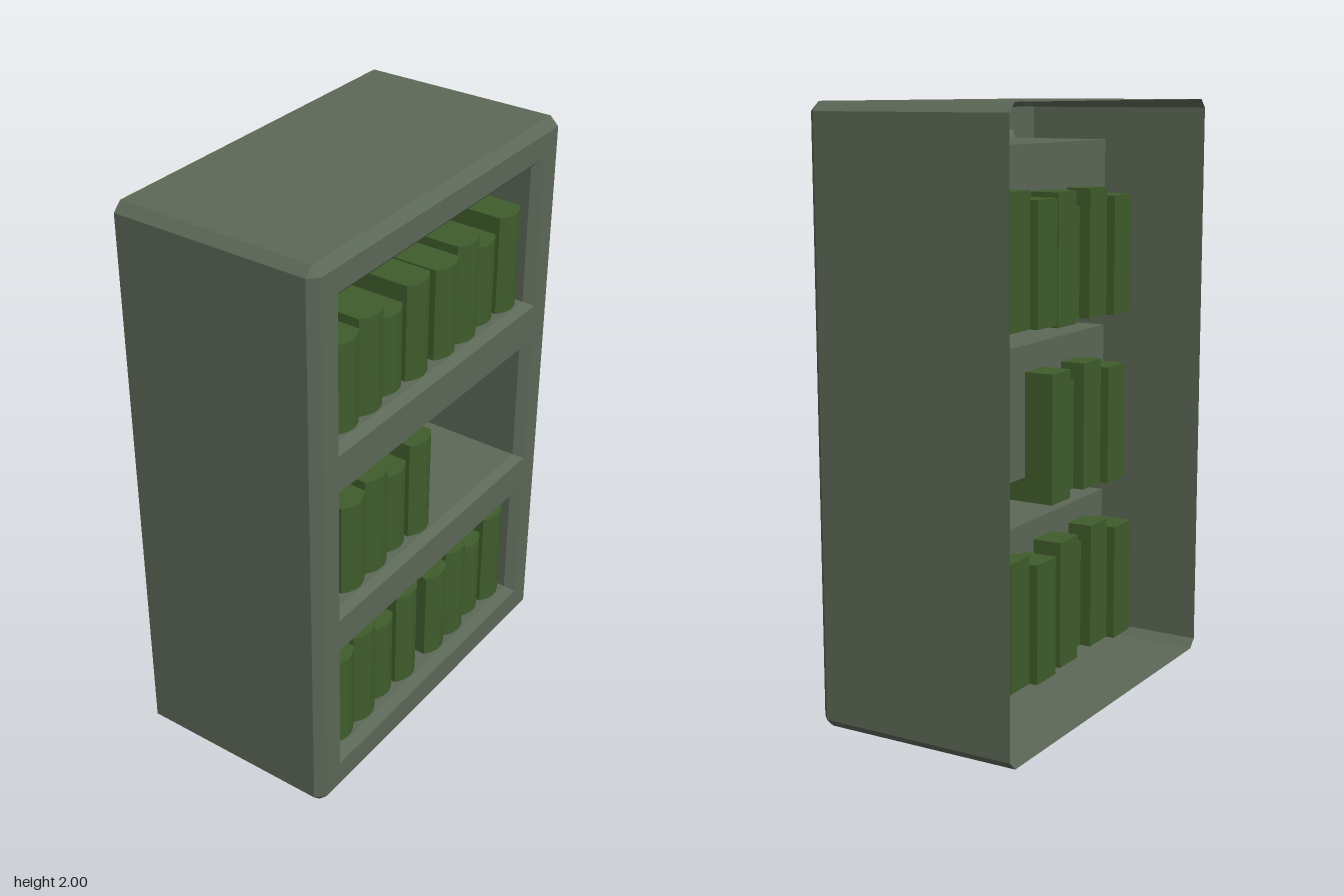
import * as THREE from 'three';

const bodyMat = new THREE.MeshStandardMaterial({ color: 0x5c6857, flatShading: true, side: THREE.DoubleSide });
const bookMat = new THREE.MeshStandardMaterial({ color: 0x3f5c2c, flatShading: true });

// Skin between successive closed rings of [x, y, z] points
function loft(rings) {
  const pos = [];
  for (let r = 0; r < rings.length - 1; r++) {
    const a = rings[r], b = rings[r + 1], n = a.length;
    for (let i = 0; i < n; i++) {
      const j = (i + 1) % n;
      pos.push(...a[i], ...a[j], ...b[j], ...a[i], ...b[j], ...b[i]);
    }
  }
  const geo = new THREE.BufferGeometry();
  geo.setAttribute('position', new THREE.Float32BufferAttribute(pos, 3));
  geo.computeVertexNormals();
  return geo;
}

const rect = (w, y0, y1) => [[-w, y0], [w, y0], [w, y1], [-w, y1]];
const atZ = (pts, z) => pts.map(([x, y]) => [x, y, z]);

function add(parent, geo, mat, name) {
  const mesh = new THREE.Mesh(geo, mat);
  mesh.name = name;
  parent.add(mesh);
  return mesh;
}

// Book with a rounded spine towards the front
function bookGeometry(x0, x1, y0, y1, back, front) {
  const mid = (x0 + x1) / 2, bulge = 0.025;
  const s = new THREE.Shape();
  s.moveTo(x0, -back);
  s.lineTo(x1, -back);
  s.lineTo(x1, -front);
  s.quadraticCurveTo(mid, -front - bulge * 2, x0, -front);
  s.closePath();
  const geo = new THREE.ExtrudeGeometry(s, { depth: y1 - y0, bevelEnabled: false, curveSegments: 6 });
  geo.rotateX(-Math.PI / 2);
  geo.translate(0, y0, 0);
  return geo;
}

export function createModel() {
  const model = new THREE.Group();
  model.name = 'bookcase';
  const W = 0.665, H = 2, B = 0.03, F = 0.36;

  // Outer shell: chamfered edges, open at the back
  const cabinet = new THREE.Group();
  cabinet.name = 'cabinet';
  model.add(cabinet);
  const octagon = [
    [-W + B, 0], [W - B, 0], [W, B], [W, H - B],
    [W - B, H], [-W + B, H], [-W, H - B], [-W, B],
  ];
  const c = rect(W - B, B, H - B);
  const collapsed = [c[0], c[1], c[1], c[2], c[2], c[3], c[3], c[0]];
  add(cabinet, loft([atZ(octagon, -F), atZ(octagon, F - B), atZ(collapsed, F)]), bodyMat, 'outerShell');

  // Front frame with three openings: [outer bottom, outer top, inner bottom, inner top]
  const bays = [
    [0.12, 0.61, 0.15, 0.59],
    [0.73, 1.22, 0.75, 1.2],
    [1.35, 1.89, 1.37, 1.86],
  ];
  const toVec = (pts) => pts.map(([x, y]) => new THREE.Vector2(x, y));
  const frame = new THREE.Shape(toVec(c));
  bays.forEach(([y0, y1]) => frame.holes.push(new THREE.Path(toVec(rect(0.56, y0, y1)).reverse())));
  add(cabinet, new THREE.ShapeGeometry(frame), bodyMat, 'frontFrame').position.z = F;

  // Recessed compartments with bevelled rims and back panels
  const panelZ = -0.04;
  bays.forEach(([y0, y1, i0, i1]) => {
    const inner = rect(0.53, i0, i1);
    add(cabinet, loft([atZ(rect(0.56, y0, y1), F), atZ(inner, F - B), atZ(inner, panelZ)]), bodyMat, 'compartment');
    add(cabinet, new THREE.ShapeGeometry(new THREE.Shape(toVec(inner))), bodyMat, 'backPanel').position.z = panelZ;
  });

  // Sets of four books: [left x, top y of the tallest]
  const drops = [0.03, 0, 0.06, 0];
  const backs = [-0.16, -0.13, -0.09, -0.145];
  const fronts = [0.3, 0.3, 0.285, 0.3];
  const sets = [[-0.5, 1.705], [0.03, 1.72], [-0.465, 1.11], [-0.525, 0.52], [0.03, 0.52]];
  sets.forEach(([x, top]) => {
    const row = new THREE.Group();
    row.name = 'bookRow';
    model.add(row);
    drops.forEach((d, i) => {
      const x0 = x + i * 0.124;
      add(row, bookGeometry(x0, x0 + 0.124, top - 0.445, top - d, backs[i], fronts[i]), bookMat, 'book');
    });
  });
  return model;
}
